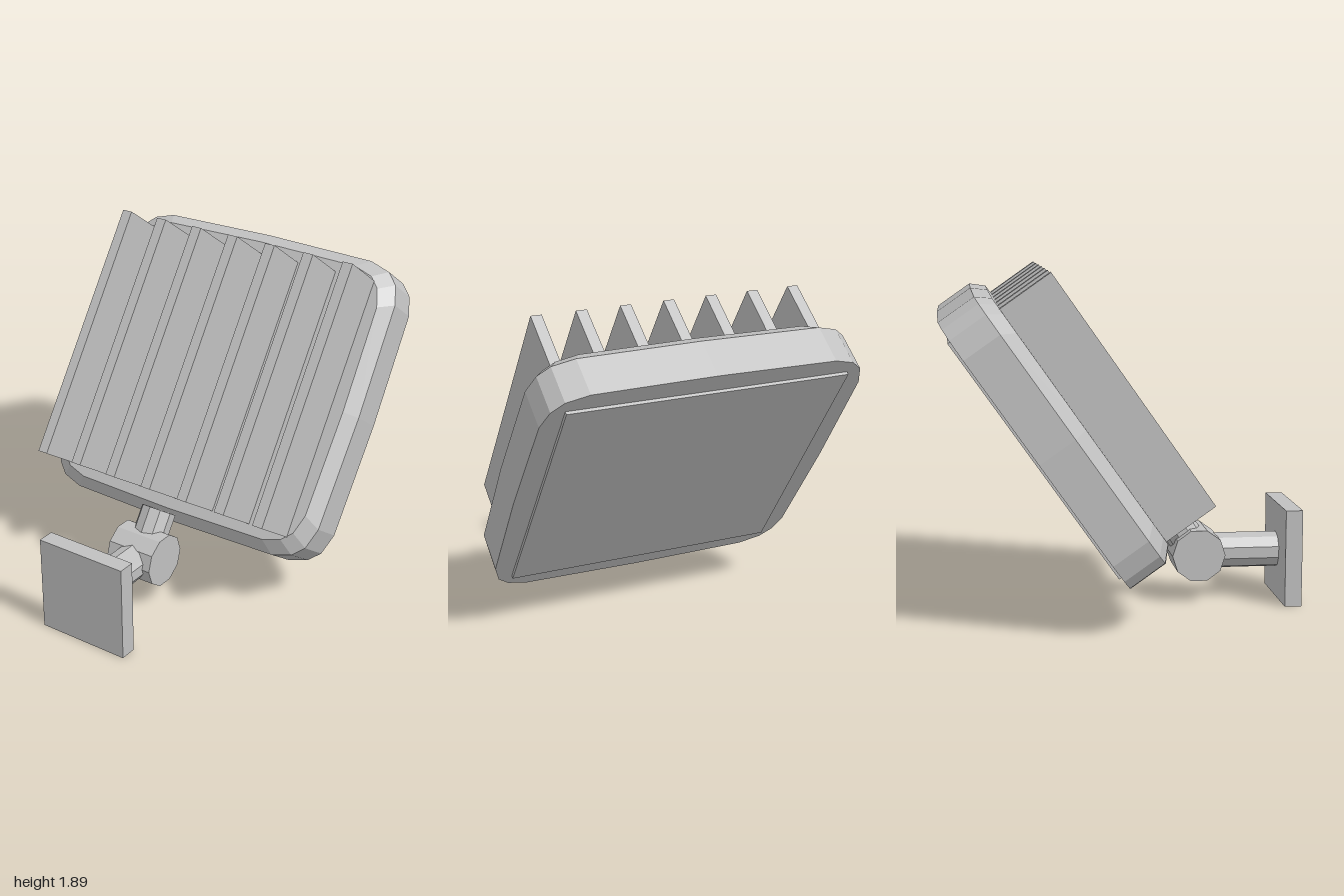
import * as THREE from 'three';

const grey = new THREE.MeshStandardMaterial({ color: 0xc0c0c0, flatShading: true });
grey.name = 'light grey';

function part(parent, name, geometry, x = 0, y = 0, z = 0) {
  const mesh = new THREE.Mesh(geometry, grey);
  mesh.name = name;
  mesh.position.set(x, y, z);
  parent.add(mesh);
  return mesh;
}

// Rounded-square outline, mirrored from one quadrant, counter-clockwise
function outline(halfX, halfY) {
  const quarter = [[1, 0], [0.987, 0.745], [0.947, 0.87], [0.878, 0.943], [0.742, 0.986]];
  const ring = [];
  for (let q = 0; q < 4; q++) {
    for (const [a, b] of quarter) {
      const [x, y] = [[a, b], [-b, a], [-a, -b], [b, -a]][q];
      ring.push([x * halfX, y * halfY]);
    }
  }
  return ring;
}

// Joins cross-sections [halfX, halfY, z] from back to front and caps both ends
function loft(sections) {
  const positions = [];
  const rings = sections.map(([hx, hy, z]) => outline(hx, hy).map(([x, y]) => [x, y, z]));
  const n = rings[0].length;
  const tri = (a, b, c) => positions.push(...a, ...b, ...c);
  for (let s = 0; s < rings.length - 1; s++) {
    for (let i = 0; i < n; i++) {
      const j = (i + 1) % n;
      const [lo, hi] = [rings[s], rings[s + 1]];
      tri(lo[i], lo[j], hi[j]);
      tri(lo[i], hi[j], hi[i]);
    }
  }
  const first = rings[0], last = rings[rings.length - 1];
  const c0 = [0, 0, sections[0][2]], c1 = [0, 0, sections[sections.length - 1][2]];
  for (let i = 0; i < n; i++) {
    const j = (i + 1) % n;
    tri(c0, first[j], first[i]);
    tri(c1, last[i], last[j]);
  }
  const g = new THREE.BufferGeometry();
  g.setAttribute('position', new THREE.Float32BufferAttribute(positions, 3));
  g.computeVertexNormals();
  return g;
}

export function createModel() {
  const model = new THREE.Group();
  model.name = 'floodlight';

  // Wall mount, arm and hinge
  part(model, 'wallPlate', new THREE.BoxGeometry(0.54, 0.545, 0.095), 0, 0.2725, 0.9525);
  part(model, 'arm', new THREE.CylinderGeometry(0.102, 0.102, 0.48, 10), 0, 0.273, 0.68)
    .rotation.x = Math.PI / 2;
  part(model, 'hinge', new THREE.CylinderGeometry(0.15, 0.15, 0.287, 10), 0, 0.273, 0.44)
    .rotation.z = Math.PI / 2;

  // Everything above the hinge leans away by 35 degrees
  const head = new THREE.Group();
  head.name = 'lampHead';
  head.position.set(0, 0.273, 0.44);
  head.rotation.x = THREE.MathUtils.degToRad(-35);
  model.add(head);

  part(head, 'neck', new THREE.CylinderGeometry(0.1, 0.1, 0.255, 10), 0, 0.1275, 0);

  // Housing with a chamfer on the finned side
  const midY = 1.081;
  part(head, 'housing', loft([
    [0.9, 0.866, -0.39],
    [0.9, 0.866, -0.167],
    [0.832, 0.803, -0.097],
  ]), 0, midY, 0);

  // Glass panel on the lamp side
  part(head, 'lensPanel', new THREE.BoxGeometry(1.55, 1.496, 0.05), 0, midY, -0.383);

  // Cooling fins
  for (let i = -3; i <= 3; i++) {
    part(head, 'coolingFin', new THREE.BoxGeometry(0.06, 1.474, 0.337), i * 0.242, midY, 0.0495);
  }
  return model;
}
